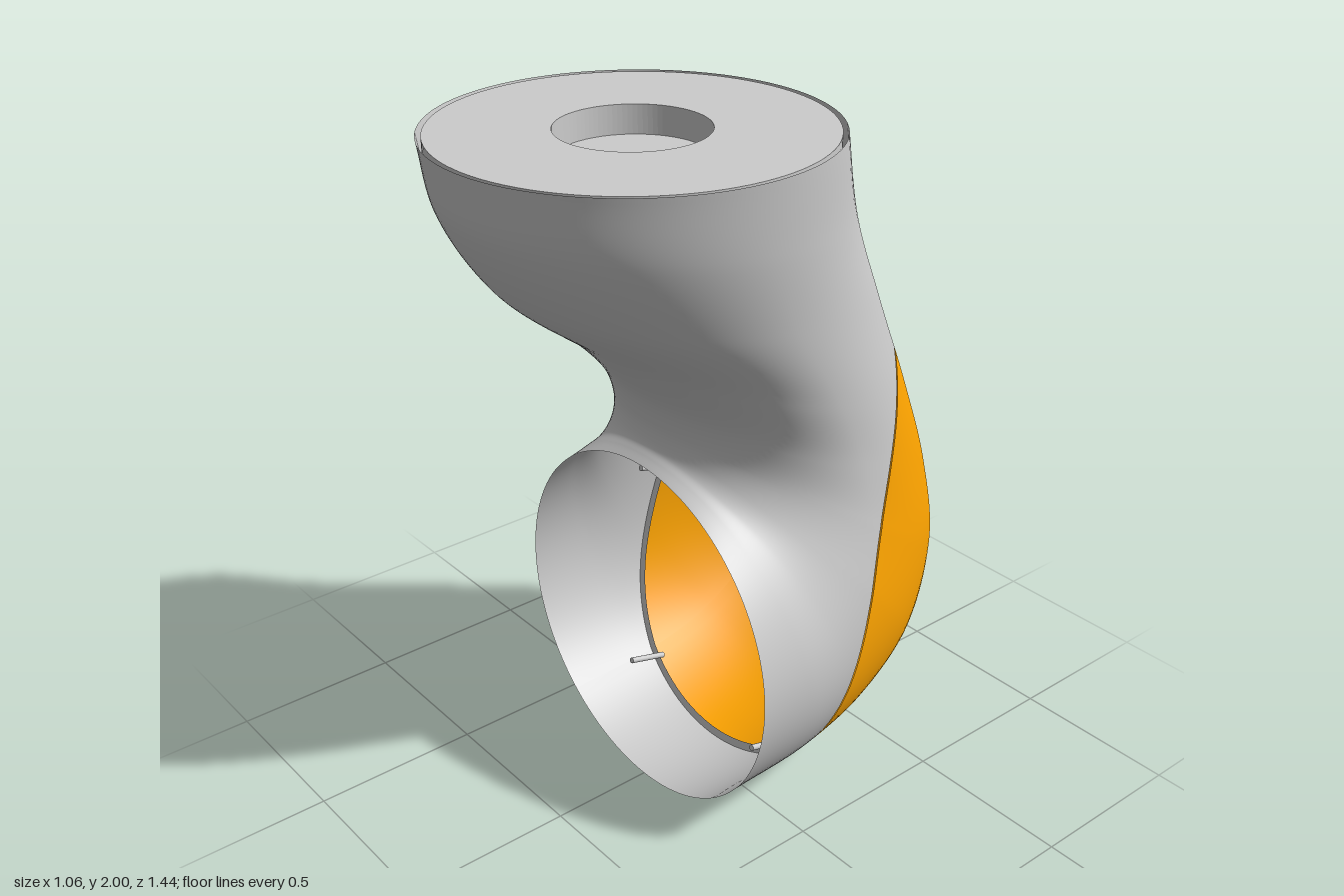
import * as THREE from 'three';

const R = 0.53;        // radius of both round ends
const EDGE = 0.34;     // half width of the back panel between its two creases
const Z0 = 0.19;       // centre of the top ring, plane of the front opening

// Cross-sections: back point (y, z), inner point (y, z), half width
const sections = [
  [2.0, -0.34, 2.0, 0.72, 0.53],
  [1.75, -0.38, 1.83, 0.69, 0.505],
  [1.5, -0.47, 1.62, 0.56, 0.47],
  [1.2, -0.585, 1.42, 0.32, 0.443],
  [0.9, -0.68, 1.27, 0.19, 0.435],
  [0.6, -0.72, 1.18, 0.155, 0.448],
  [0.3, -0.63, 1.13, 0.15, 0.475],
  [0.12, -0.42, 1.10, 0.155, 0.497],
  [0.03, -0.15, 1.08, 0.17, 0.52],
  [0.0, 0.19, 1.06, 0.19, 0.53],
];
const backCurve = new THREE.CatmullRomCurve3(sections.map(s => new THREE.Vector3(0, s[0], s[1])));
const innerCurve = new THREE.CatmullRomCurve3(sections.map(s => new THREE.Vector3(s[4], s[2], s[3])));

// Slanted parting plane between body (positive side) and cover
const planeNormal = new THREE.Vector3(0, 0.2635, 1).normalize();
const parting = new THREE.Plane().setFromNormalAndCoplanarPoint(planeNormal, new THREE.Vector3(0, 0.02, -0.08));

// Point on the skin: u runs from the top ring to the front opening, v across a strip
function skinPoint(u, v, isBack) {
  const back = backCurve.getPoint(u);
  const inner = innerCurve.getPoint(u);
  const w = inner.x;
  inner.x = 0;
  const mid = back.clone().add(inner).multiplyScalar(0.5);
  const axis = back.clone().sub(inner);
  const h = axis.length() / 2;
  axis.normalize();
  const fullSag = R - Math.sqrt(R * R - EDGE * EDGE);
  const sag = fullSag - 0.018 * Math.sin(Math.PI * u);
  let x, depth;
  if (isBack) {
    x = EDGE * (2 * v - 1);
    depth = h - sag * (R - Math.sqrt(R * R - x * x)) / fullSag;
  } else {
    const a0 = Math.acos(EDGE / w);
    const a = a0 - v * (Math.PI + 2 * a0);
    x = w * Math.cos(a);
    depth = Math.sin(a) > 0 ? (h - sag) * Math.sin(a) / Math.sin(a0) : h * Math.sin(a);
  }
  return mid.addScaledVector(axis, depth).setX(x);
}

// Smooth strip of skin, unindexed and ready for cutting
function strip(nu, nv, isBack) {
  const pos = [], index = [];
  for (let i = 0; i <= nu; i++) {
    for (let j = 0; j <= nv; j++) {
      pos.push(...skinPoint(i / nu, j / nv, isBack).toArray());
      if (i < nu && j < nv) {
        const a = i * (nv + 1) + j, b = a + nv + 1;
        index.push(a, a + 1, b, a + 1, b + 1, b);
      }
    }
  }
  const g = new THREE.BufferGeometry();
  g.setAttribute('position', new THREE.Float32BufferAttribute(pos, 3));
  g.setIndex(index);
  g.computeVertexNormals();
  return g.toNonIndexed();
}

// Keep the part of the strips on one side of the parting plane; also return the cut edge
function cut(strips, side, gap) {
  const pos = [], nor = [], edge = [];
  for (const g of strips) {
    const P = g.attributes.position, N = g.attributes.normal;
    for (let t = 0; t < P.count; t += 3) {
      const tri = [0, 1, 2].map(k => {
        const p = new THREE.Vector3().fromBufferAttribute(P, t + k);
        const n = new THREE.Vector3().fromBufferAttribute(N, t + k);
        return { p, n, d: side * parting.distanceToPoint(p) - gap };
      });
      const poly = [], crossings = [];
      tri.forEach((a, k) => {
        const b = tri[(k + 1) % 3];
        if (a.d >= 0) poly.push(a);
        if ((a.d >= 0) !== (b.d >= 0)) {
          const f = a.d / (a.d - b.d);
          const c = { p: a.p.clone().lerp(b.p, f), n: a.n.clone().lerp(b.n, f).normalize() };
          poly.push(c);
          crossings.push(c);
        }
      });
      if (crossings.length === 2) edge.push(crossings);
      for (let k = 1; k + 1 < poly.length; k++) {
        for (const q of [poly[0], poly[k], poly[k + 1]]) {
          pos.push(...q.p.toArray());
          nor.push(...q.n.toArray());
        }
      }
    }
  }
  const geometry = new THREE.BufferGeometry();
  geometry.setAttribute('position', new THREE.Float32BufferAttribute(pos, 3));
  geometry.setAttribute('normal', new THREE.Float32BufferAttribute(nor, 3));
  return { geometry, edge };
}

// Narrow flange lying in the parting plane, running inward from the cut edge
function flange(edge, width) {
  const pos = [];
  const inward = q => {
    const n = q.n.clone().projectOnPlane(planeNormal).normalize();
    return q.p.clone().addScaledVector(n, -width);
  };
  for (const [a, b] of edge) {
    const c = inward(a), d = inward(b);
    for (const p of [a.p, b.p, c, b.p, d, c]) pos.push(...p.toArray());
  }
  const g = new THREE.BufferGeometry();
  g.setAttribute('position', new THREE.Float32BufferAttribute(pos, 3));
  g.computeVertexNormals();
  return g;
}

export function createModel() {
  const model = new THREE.Group();
  const grey = new THREE.MeshStandardMaterial({ color: 0xcccccc, side: THREE.DoubleSide });
  const orange = new THREE.MeshStandardMaterial({ color: 0xffa500, side: THREE.DoubleSide });
  const add = (name, geometry, material) => {
    const mesh = new THREE.Mesh(geometry, material);
    mesh.name = name;
    model.add(mesh);
    return mesh;
  };

  // Bent housing and the removable back cover
  const strips = [strip(110, 24, true), strip(110, 96, false)];
  const body = cut(strips, 1, 0.003);
  add('housing', body.geometry, grey);
  add('backCover', cut(strips, -1, 0.003).geometry, orange);
  add('coverFlange', flange(body.edge, 0.025), grey);

  // Top plate with a round recess
  const plate = new THREE.Shape().absarc(0, 0, 0.515, 0, Math.PI * 2);
  plate.holes.push(new THREE.Path().absarc(0, 0, 0.2, 0, Math.PI * 2, true));
  const plateGeometry = new THREE.ExtrudeGeometry(plate, { depth: 0.08, bevelEnabled: false, curveSegments: 48 });
  plateGeometry.rotateX(-Math.PI / 2);
  add('topPlate', plateGeometry, grey).position.set(0, 1.919, Z0);
  const floor = add('recessFloor', new THREE.CircleGeometry(0.2, 48), grey);
  floor.rotation.x = -Math.PI / 2;
  floor.position.set(0, 1.92, Z0);

  // Four locating pins standing on the flange
  const length = 0.13;
  for (const side of [-1, 1]) {
    for (const [x, y] of [[0.42, 0.725], [0.285, 0.145]]) {
      const pin = add('coverPin', new THREE.CylinderGeometry(0.009, 0.009, length, 12), grey);
      pin.quaternion.setFromUnitVectors(new THREE.Vector3(0, 1, 0), planeNormal);
      pin.position.set(side * x, y, -0.08 - (y - 0.02) * 0.2635).addScaledVector(planeNormal, length / 2);
    }
  }
  return model;
}
